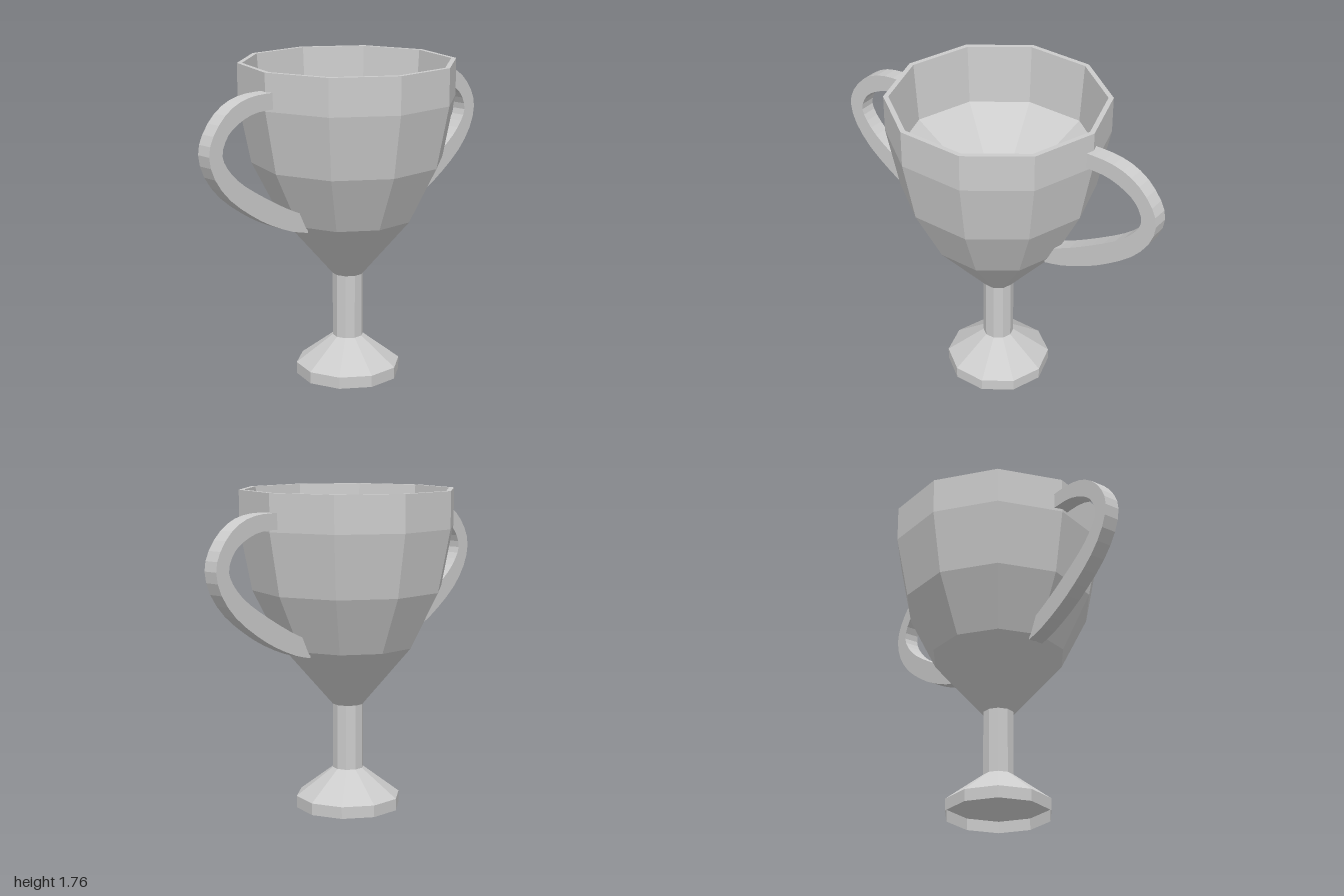
import * as THREE from 'three';

const material = new THREE.MeshStandardMaterial({
  color: 0xcccccc, flatShading: true, side: THREE.DoubleSide,
});

const vectors = (points) => points.map(([x, y]) => new THREE.Vector2(x, y));

// Ten-sided turned part with corners on the x axis
function turned(name, profile) {
  const mesh = new THREE.Mesh(new THREE.LatheGeometry(vectors(profile), 10, Math.PI / 2), material);
  mesh.name = name;
  return mesh;
}

// Flat strap between an outer and an inner curve, mirrored by side (+1 or -1)
function handle(name, side) {
  const outer = [[0.57, 1.66], [0.68, 1.66], [0.79, 1.64], [0.89, 1.585], [0.97, 1.49], [1, 1.39],
    [0.965, 1.27], [0.87, 1.15], [0.73, 1.045], [0.6, 0.97], [0.45, 0.907], [0.34, 0.88]];
  const inner = [[0.33, 0.97], [0.46, 1.025], [0.625, 1.115], [0.79, 1.22], [0.88, 1.31],
    [0.915, 1.39], [0.88, 1.475], [0.81, 1.53], [0.7, 1.57], [0.57, 1.575]];
  const smooth = (points) => new THREE.SplineCurve(
    vectors(points.map(([x, y]) => [x * side, y]))).getPoints(22);
  const shape = new THREE.Shape([...smooth(outer), ...smooth(inner)]);
  const geometry = new THREE.ExtrudeGeometry(shape, { depth: 0.086, bevelEnabled: false });
  geometry.translate(0, 0, -0.043);
  const mesh = new THREE.Mesh(geometry, material);
  mesh.name = name;
  return mesh;
}

export function createModel() {
  const group = new THREE.Group();
  group.name = 'trophyCup';

  // Hollow foot, open underneath
  group.add(turned('foot', [[0.29, 0], [0.29, 0.065], [0.085, 0.22]]));

  group.add(turned('stem', [[0.085, 0.22], [0.085, 0.58]]));

  // Bowl: outer wall, rim, short inner wall and conical floor
  group.add(turned('bowl', [
    [0.085, 0.58], [0.37, 0.91], [0.525, 1.22], [0.592, 1.56], [0.592, 1.76],
    [0.565, 1.76], [0.54, 1.43], [0, 1.07],
  ]));

  group.add(handle('leftHandle', 1), handle('rightHandle', -1));
  return group;
}
